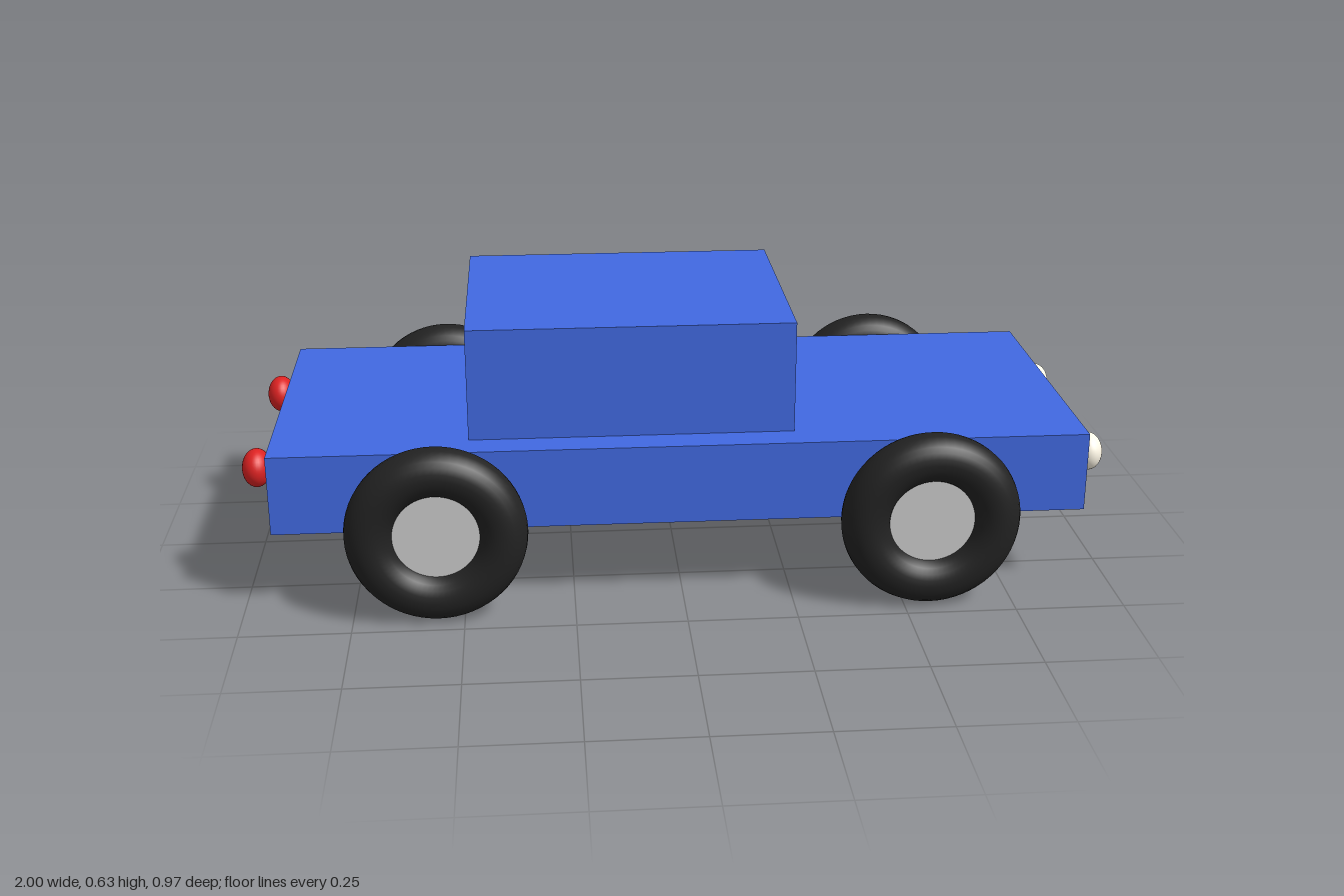
import * as THREE from 'three';

const paint = new THREE.MeshStandardMaterial({ color: 0x4169e1 });
const rubber = new THREE.MeshStandardMaterial({ color: 0x222222 });
const metal = new THREE.MeshStandardMaterial({ color: 0xcccccc });
const white = new THREE.MeshStandardMaterial({ color: 0xfff8e7 });
const red = new THREE.MeshStandardMaterial({ color: 0xdd2222 });

const AXLE_Y = 0.204;
const BODY_Y = 0.279;

function addMesh(parent, name, geometry, material, x = 0, y = 0, z = 0) {
  const mesh = new THREE.Mesh(geometry, material);
  mesh.name = name;
  mesh.position.set(x, y, z);
  parent.add(mesh);
  return mesh;
}

export function createModel() {
  const car = new THREE.Group();
  car.name = 'car';

  // Body slab and cabin block
  addMesh(car, 'body', new THREE.BoxGeometry(1.858, 0.186, 0.743), paint, 0, BODY_Y, 0);
  addMesh(car, 'cabin', new THREE.BoxGeometry(0.743, 0.26, 0.595), paint, -0.111, 0.502, 0);

  // Wheels: rounded tyre with a recessed hub disc
  const tyreGeometry = new THREE.TorusGeometry(0.1487, 0.0557, 24, 64);
  const hubGeometry = new THREE.CylinderGeometry(0.111, 0.111, 0.04, 48).rotateX(Math.PI / 2);
  for (const [end, x] of [['front', 0.557], ['rear', -0.557]]) {
    for (const [side, z] of [['Right', 0.43], ['Left', -0.43]]) {
      const wheel = new THREE.Group();
      wheel.name = `${end}${side}Wheel`;
      wheel.position.set(x, AXLE_Y, z);
      addMesh(wheel, 'tyre', tyreGeometry, rubber);
      addMesh(wheel, 'hub', hubGeometry, metal);
      car.add(wheel);
    }
  }

  // Flattened round lamps at both ends
  const lampGeometry = new THREE.SphereGeometry(0.0446, 32, 20).scale(0.74, 1, 1);
  for (const z of [0.243, -0.243]) {
    addMesh(car, 'headlight', lampGeometry, white, 0.967, BODY_Y, z);
    addMesh(car, 'tailLight', lampGeometry, red, -0.967, BODY_Y + 0.019, z);
  }

  return car;
}
